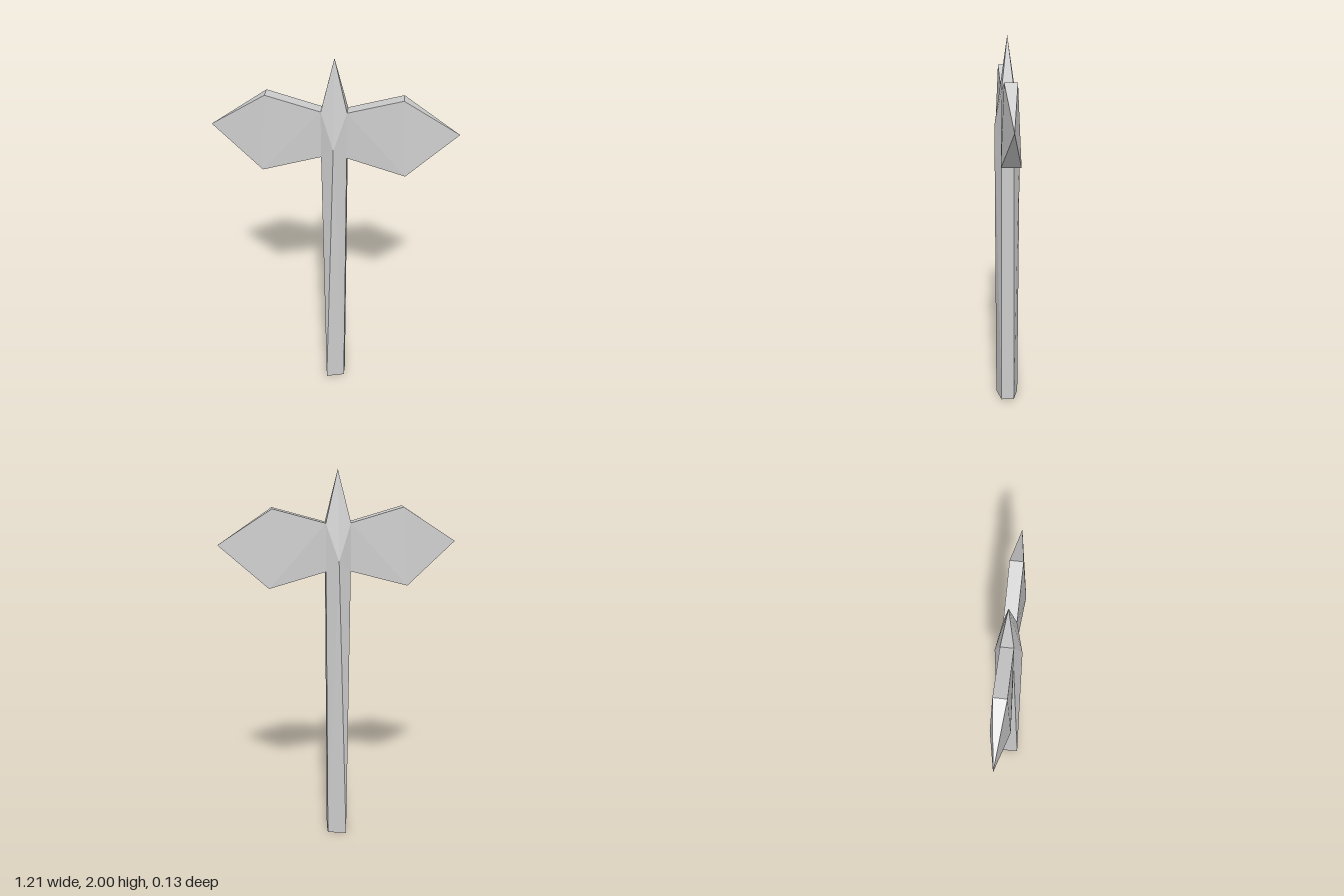
import * as THREE from 'three';

const material = new THREE.MeshStandardMaterial({ color: 0xcccccc, flatShading: true });

// Skins a row of rings (counter-clockwise seen from the last ring) with flat faces.
// Twisted quads fold along their convex diagonal; collapsed triangles are dropped.
function loft(name, rings, capStart) {
  const pos = [];
  const tri = (a, b, c) => {
    const n = b.clone().sub(a).cross(c.clone().sub(a));
    if (n.length() > 1e-7) for (const p of [a, b, c]) pos.push(p.x, p.y, p.z);
  };
  const r = rings.map(ring => ring.map(p => new THREE.Vector3(...p)));
  const n = r[0].length;
  for (let i = 0; i + 1 < r.length; i++) {
    for (let j = 0; j < n; j++) {
      const k = (j + 1) % n;
      const a = r[i][j], b = r[i][k], c = r[i + 1][k], d = r[i + 1][j];
      const normal = b.clone().sub(a).cross(c.clone().sub(a));
      if (normal.dot(d.clone().sub(a)) > 1e-9) {
        tri(a, b, d);
        tri(b, c, d);
      } else {
        tri(a, b, c);
        tri(a, c, d);
      }
    }
  }
  if (capStart) for (let j = 1; j + 1 < n; j++) tri(r[0][0], r[0][j + 1], r[0][j]);
  const geometry = new THREE.BufferGeometry();
  geometry.setAttribute('position', new THREE.Float32BufferAttribute(pos, 3));
  geometry.computeVertexNormals();
  const mesh = new THREE.Mesh(geometry, material);
  mesh.name = name;
  return mesh;
}

// Six-sided ring: flat faces on the left and right, a ridge at front and back
function hexRing(sideX, sideZ, sideY, ridgeZ, ridgeY) {
  return [
    [sideX, sideY, sideZ], [sideX, sideY, -sideZ], [0, ridgeY, -ridgeZ],
    [-sideX, sideY, -sideZ], [-sideX, sideY, sideZ], [0, ridgeY, ridgeZ],
  ];
}

// Shaft foot is a trapezoid (left corners merge into the ridges), top ends in a spike
function makeShaft() {
  const foot = [
    [0.06, 0, 0.035], [0.06, 0, -0.035], [-0.04, 0, -0.06],
    [-0.04, 0, -0.06], [-0.04, 0, 0.06], [-0.04, 0, 0.06],
  ];
  const collar = hexRing(0.063, 0.031, 1.495, 0.065, 1.55);
  const shoulder = hexRing(0.063, 0.031, 1.74, 0.065, 1.55);
  const spike = Array(6).fill([0, 2, 0]);
  return loft('shaftAndSpike', [foot, collar, shoulder, spike], true);
}

// Axe blade: thin root, swollen middle, pointed tip
function makeBlade(name, side) {
  const section = (xTop, yTop, zTop, xLow, yLow, zLow) => {
    const ring = [
      [side * xTop, yTop, zTop], [side * xLow, yLow, zLow],
      [side * xLow, yLow, -zLow], [side * xTop, yTop, -zTop],
    ];
    return side > 0 ? ring : ring.reverse();
  };
  return loft(name, [
    section(0.063, 1.74, 0.031, 0.063, 1.495, 0.031),
    section(0.328, 1.815, 0.032, 0.353, 1.418, 0.049),
    section(0.603, 1.635, 0, 0.603, 1.635, 0),
  ], true);
}

export function createModel() {
  const model = new THREE.Group();
  model.name = 'doubleAxe';
  model.add(makeShaft(), makeBlade('leftBlade', 1), makeBlade('rightBlade', -1));
  return model;
}
